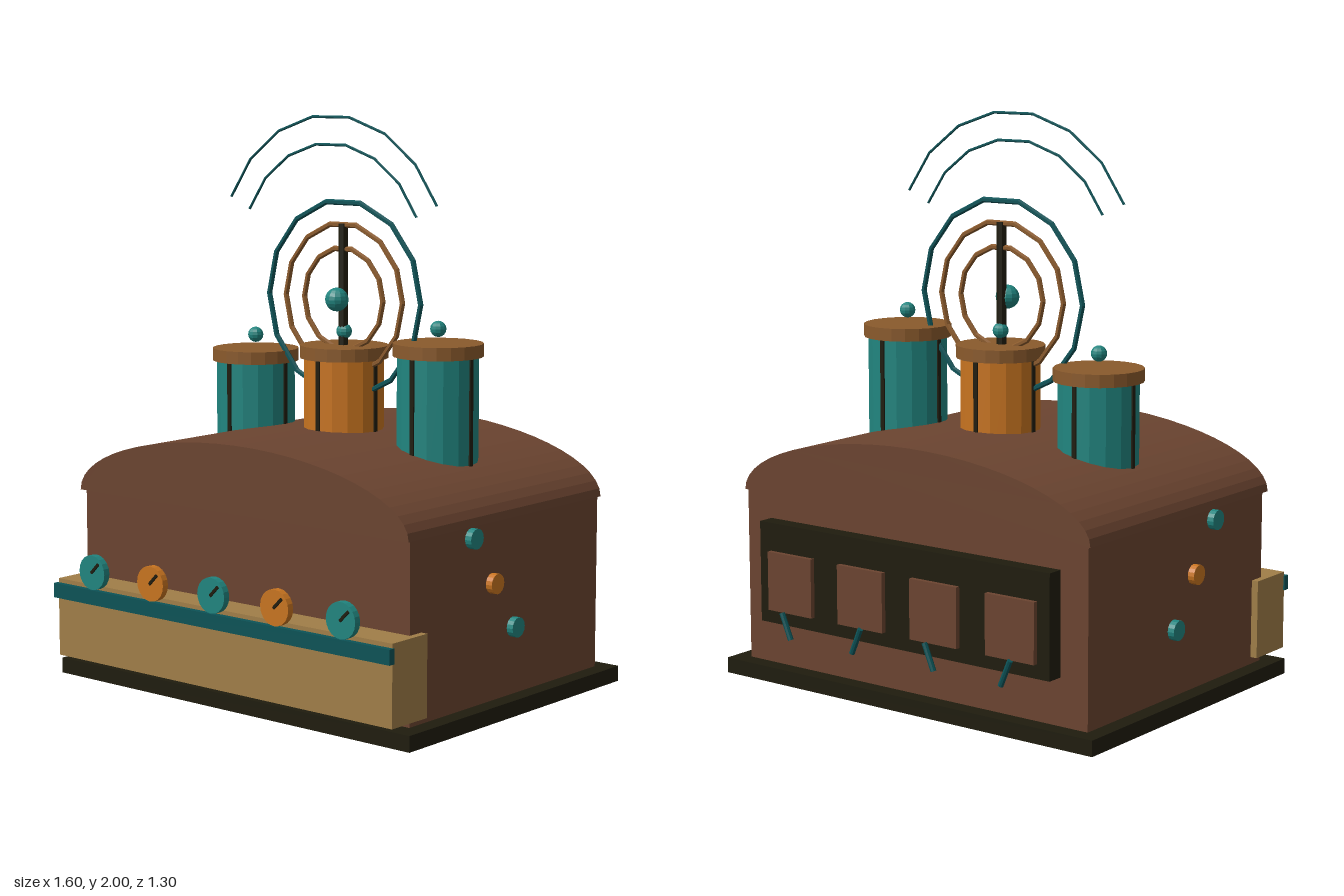
import * as THREE from 'three';

const material = (name, color) => {
  const m = new THREE.MeshStandardMaterial({ color, flatShading: true });
  m.name = name;
  return m;
};

export function createModel() {
  const model = new THREE.Group();
  model.name = 'machine';

  const wood = material('red brown', 0x6b4430);
  const dark = material('near black', 0x1f1c0e);
  const tan = material('tan', 0xa07e48);
  const capBrown = material('cap brown', 0x8a5a2c);
  const teal = material('teal', 0x21857f);
  const deepTeal = material('deep teal', 0x0c5357);
  const orange = material('orange', 0xc87420);

  const add = (name, geometry, mat, x = 0, y = 0, z = 0, parent = model) => {
    const mesh = new THREE.Mesh(geometry, mat);
    mesh.name = name;
    mesh.position.set(x, y, z);
    parent.add(mesh);
    return mesh;
  };
  // Box given by its limits on each axis
  const box = (name, mat, x0, x1, y0, y1, z0, z1, parent) =>
    add(name, new THREE.BoxGeometry(x1 - x0, y1 - y0, z1 - z0), mat,
      (x0 + x1) / 2, (y0 + y1) / 2, (z0 + z1) / 2, parent);

  // Base slab and cabinet
  box('base', dark, -0.8, 0.8, 0, 0.055, -0.62, 0.575);
  box('cabinet', wood, -0.74, 0.74, 0.055, 0.68, -0.56, 0.5);

  // Domed roof
  const arch = new THREE.Shape();
  arch.moveTo(-0.75, 0.67);
  arch.bezierCurveTo(-0.75, 0.8, -0.4, 0.905, 0, 0.905);
  arch.bezierCurveTo(0.4, 0.905, 0.75, 0.8, 0.75, 0.67);
  arch.closePath();
  add('roof', new THREE.ExtrudeGeometry(arch, { depth: 1.085, bevelEnabled: false, curveSegments: 14 }),
    wood, 0, 0, -0.565);

  // Front console with rail and dials
  box('console', tan, -0.765, 0.765, 0.08, 0.36, 0.44, 0.62);
  box('consoleRail', deepTeal, -0.77, 0.77, 0.293, 0.345, 0.615, 0.64);
  for (let i = 0; i < 5; i++) {
    const dial = new THREE.Group();
    dial.name = 'dial';
    dial.position.set((i - 2) * 0.285, 0.41, 0.632);
    model.add(dial);
    add('dialFace', new THREE.CylinderGeometry(0.062, 0.062, 0.025, 20).rotateX(Math.PI / 2),
      i % 2 ? orange : teal, 0, 0, 0, dial);
    add('dialNeedle', new THREE.BoxGeometry(0.01, 0.05, 0.006), dark, 0.017, 0.017, 0.015, dial)
      .rotation.z = -Math.PI / 4;
  }

  // Side buttons, mirrored
  for (const side of [-1, 1]) {
    [[0.63, 0.175], [0.46, 0.058], [0.29, -0.062]].forEach(([y, z], i) => {
      add('sideButton', new THREE.CylinderGeometry(0.035, 0.035, 0.03, 16).rotateZ(Math.PI / 2),
        i === 1 ? orange : teal, side * 0.75, y, z);
    });
  }

  // Back panel with plates and levers
  box('backPanel', dark, -0.63, 0.63, 0.22, 0.58, -0.62, -0.56);
  for (let i = 0; i < 4; i++) {
    const x = (i - 1.5) * 0.32;
    box('backPlate', wood, x - 0.1, x + 0.1, 0.27, 0.48, -0.638, -0.615);
    add('lever', new THREE.CylinderGeometry(0.01, 0.01, 0.1, 8), deepTeal, x + 0.012, 0.225, -0.643)
      .rotation.z = i % 2 ? -0.4 : 0.4;
  }

  // Three capped canisters
  const cz = -0.053;
  [[-0.42, 1.11, teal], [0, 1.152, orange], [0.42, 1.19, teal]].forEach(([x, top, mat]) => {
    const canister = new THREE.Group();
    canister.name = 'canister';
    canister.position.set(x, 0, cz);
    model.add(canister);
    const h = top - 0.75;
    add('canisterBody', new THREE.CylinderGeometry(0.142, 0.142, h, 16), mat, 0, 0.75 + h / 2, 0, canister);
    add('canisterCap', new THREE.CylinderGeometry(0.157, 0.157, 0.045, 20), capBrown, 0, top + 0.0225, 0, canister);
    add('capKnob', new THREE.SphereGeometry(0.028, 10, 8), teal, 0, top + 0.093, 0, canister);
    for (let i = 0; i < 4; i++) {
      const a = i * Math.PI / 2;
      add('canisterRib', new THREE.BoxGeometry(0.016, h, 0.016), dark,
        0.138 * Math.sin(a), 0.75 + h / 2, 0.138 * Math.cos(a), canister);
    }
  });

  // Antenna: rod, ball and concentric rings
  const ringY = 1.36;
  add('antennaRod', new THREE.CylinderGeometry(0.017, 0.017, 0.43, 8), dark, 0, 1.41, -0.048);
  add('antennaBall', new THREE.SphereGeometry(0.042, 12, 10), teal, 0, ringY, -0.013);
  [[0.347, 0.01, deepTeal], [0.267, 0.01, capBrown], [0.18, 0.01, capBrown]].forEach(([r, t, mat]) => {
    add('antennaRing', new THREE.TorusGeometry(r, t, 6, 14), mat, 0, ringY, -0.048);
  });

  // Wave arcs above the antenna
  const span = THREE.MathUtils.degToRad(130);
  for (const r of [0.42, 0.517]) {
    add('waveArc', new THREE.TorusGeometry(r, 0.005, 6, 7, span), deepTeal, 0, 1.487, 0.02)
      .rotation.z = (Math.PI - span) / 2;
  }
  return model;
}
